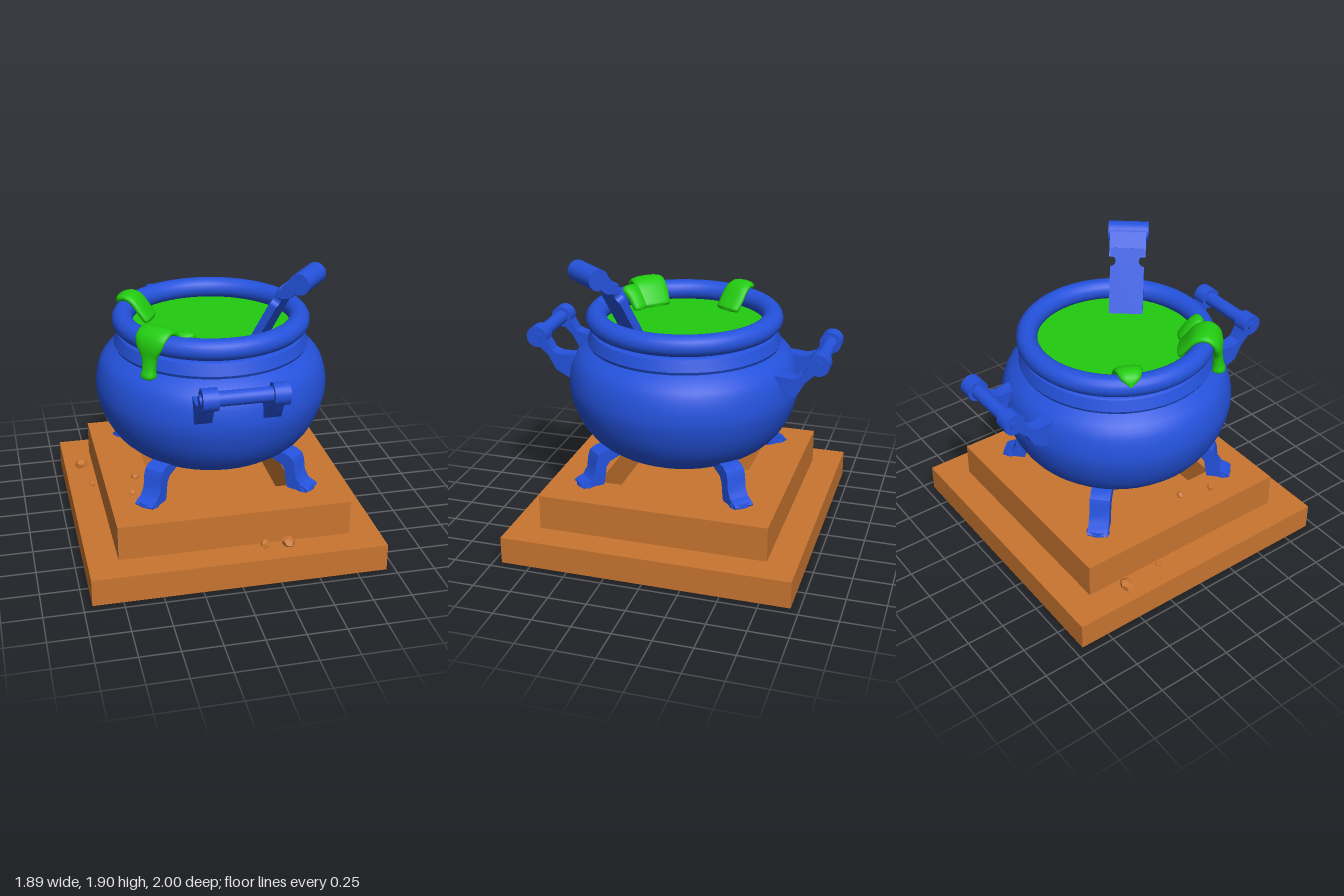
import * as THREE from 'three';
import { toCreasedNormals } from 'three/addons/utils/BufferGeometryUtils.js';

const iron = new THREE.MeshStandardMaterial({ color: 0x2452dc });
const slime = new THREE.MeshStandardMaterial({ color: 0x22cc10 });
const stone = new THREE.MeshStandardMaterial({ color: 0xc87530 });
const rubble = new THREE.MeshStandardMaterial({ color: 0xc87530, flatShading: true });

function add(parent, name, geometry, material, x = 0, y = 0, z = 0) {
  const mesh = new THREE.Mesh(geometry, material);
  mesh.name = name;
  mesh.position.set(x, y, z);
  parent.add(mesh);
  return mesh;
}

function group(parent, name, angle = 0) {
  const g = new THREE.Group();
  g.name = name;
  g.rotation.y = -angle; // local +x points outwards along this angle
  parent.add(g);
  return g;
}

const vecs = (points) => points.map(([x, y]) => new THREE.Vector2(x, y));
const lathe = (points) => toCreasedNormals(new THREE.LatheGeometry(vecs(points), 48), 0.6);

// Side profile (outward, up) given a width
function slab(points, width) {
  const g = new THREE.ExtrudeGeometry(new THREE.Shape(vecs(points)), { depth: width, bevelEnabled: false });
  g.translate(0, 0, -width / 2);
  return toCreasedNormals(g, 0.6);
}

// Soft band lofted along rows of [radius, height, half width, half thickness]
function band(rows) {
  const n = 16, pos = [], idx = [];
  const curve = new THREE.CatmullRomCurve3(rows.map(([r, y]) => new THREE.Vector3(r, y, 0)));
  const sizes = new THREE.CatmullRomCurve3(rows.map(([, , w, t]) => new THREE.Vector3(w, t, 0)));
  const steps = (rows.length - 1) * 4;
  for (let i = 0; i <= steps; i++) {
    const p = curve.getPoint(i / steps), s = sizes.getPoint(i / steps), t = curve.getTangent(i / steps);
    for (let j = 0; j < n; j++) {
      const a = (j / n) * Math.PI * 2, c = Math.cos(a);
      const h = Math.sin(a) * Math.max(s.y, 0.001);
      const w = Math.sign(c) * Math.abs(c) ** 0.7 * Math.max(s.x, 0.001);
      pos.push(p.x - t.y * h, p.y + t.x * h, w);
      if (i < steps) {
        const k = i * n + j, l = i * n + ((j + 1) % n);
        idx.push(k, k + n, l, l, k + n, l + n);
      }
    }
  }
  const g = new THREE.BufferGeometry();
  g.setAttribute('position', new THREE.Float32BufferAttribute(pos, 3));
  g.setIndex(idx);
  g.computeVertexNormals();
  return g;
}

function buildPlinth(root) {
  const plinth = group(root, 'plinth');
  add(plinth, 'lowerStep', new THREE.BoxGeometry(1.89, 0.18, 1.89), stone, 0, 0.09, 0);
  // Upper step is a square frame around a fire pit
  const square = (s) => vecs([[-s, -s], [s, -s], [s, s], [-s, s]]);
  const shape = new THREE.Shape(square(0.75));
  shape.holes.push(new THREE.Path(square(0.45)));
  const frame = new THREE.ExtrudeGeometry(shape, { depth: 0.23, bevelEnabled: false });
  frame.rotateX(-Math.PI / 2);
  add(plinth, 'upperStep', frame, stone, 0, 0.18, 0);
  // Loose rubble: x, y, z, size
  [[-0.83, 0.205, -0.52, 0.05], [-0.79, 0.19, -0.24, 0.022], [0.33, 0.2, 0.8, 0.047], [0.18, 0.2, 0.79, 0.035],
    [-0.6, 0.415, 0.34, 0.03], [-0.54, 0.415, 0.13, 0.03]].forEach(([x, y, z, s], i) => {
    const rock = add(plinth, 'rock', new THREE.DodecahedronGeometry(s, 0), rubble, x, y, z);
    rock.scale.set(1, 0.7, 0.85);
    rock.rotation.set(0.3 * i, 1.3 * i, 0.2);
  });
}

function buildPot(root) {
  const pot = group(root, 'pot');
  const profile = new THREE.SplineCurve(vecs([[0, 0.51], [0.2, 0.52], [0.36, 0.545], [0.5, 0.6], [0.62, 0.69],
    [0.7, 0.81], [0.745, 0.94], [0.755, 1.04], [0.735, 1.15], [0.69, 1.23], [0.6, 1.295]])).getPoints(22);
  add(pot, 'body', new THREE.LatheGeometry(profile, 48), iron);
  add(pot, 'neck', lathe([[0.57, 1.285], [0.62, 1.285], [0.63, 1.305], [0.605, 1.375], [0.59, 1.385], [0.55, 1.385], [0.55, 1.42]]), iron);
  const rim = new THREE.TorusGeometry(0.57, 0.068, 20, 56);
  rim.rotateX(Math.PI / 2);
  add(pot, 'rim', rim, iron, 0, 1.458, 0);
  const brew = new THREE.CircleGeometry(0.56, 48);
  brew.rotateX(-Math.PI / 2);
  add(pot, 'brew', brew, slime, 0, 1.4, 0);

  // Four bent legs on the diagonals
  const leg = slab([[0.48, 0.62], [0.52, 0.6], [0.585, 0.575], [0.61, 0.54], [0.62, 0.47], [0.63, 0.42],
    [0.775, 0.42], [0.785, 0.432], [0.77, 0.445], [0.72, 0.465], [0.69, 0.51], [0.68, 0.59], [0.665, 0.63],
    [0.63, 0.65], [0.58, 0.66], [0.5, 0.66]], 0.13);
  for (let i = 0; i < 4; i++) {
    const g = group(pot, 'leg', Math.PI / 4 + (i * Math.PI) / 2);
    add(g, 'legBracket', leg, iron);
    const toe = add(g, 'toe', new THREE.CylinderGeometry(0.07, 0.075, 0.025, 20), iron, 0.735, 0.4325, 0);
    toe.scale.x = 0.7;
  }

  // Front and back carrying handles
  const arm = slab([[0.66, 1.08], [0.71, 1.045], [0.8, 1.09], [0.853, 1.185], [0.92, 1.25], [0.95, 1.33],
    [0.88, 1.34], [0.86, 1.28], [0.826, 1.22], [0.77, 1.2], [0.66, 1.21]], 0.092);
  const rod = (r, l) => new THREE.CylinderGeometry(r, r, l, 24).rotateX(Math.PI / 2);
  for (const side of [1, -1]) {
    const g = group(pot, side > 0 ? 'frontHandle' : 'backHandle', (side * Math.PI) / 2);
    add(g, 'bar', rod(0.046, 0.4), iron, 0.93, 1.305, 0);
    add(g, 'pin', rod(0.032, 0.55), iron, 0.93, 1.305, 0);
    for (const s of [1, -1]) {
      add(g, 'arm', arm, iron, 0, 0, s * 0.213);
      add(g, 'hub', rod(0.07, 0.096), iron, 0.93, 1.305, s * 0.213);
    }
  }
}

function buildLadle(root) {
  const ladle = group(root, 'ladle', 0.69);
  // Flat shaft with a rounded notch on each edge
  const shape = new THREE.Shape();
  shape.moveTo(-0.112, -0.12);
  shape.lineTo(0.112, -0.12);
  shape.lineTo(0.112, 0.31);
  shape.absarc(0.112, 0.345, 0.035, -Math.PI / 2, Math.PI / 2, true);
  shape.lineTo(0.112, 0.43);
  shape.lineTo(-0.112, 0.43);
  shape.lineTo(-0.112, 0.38);
  shape.absarc(-0.112, 0.345, 0.035, Math.PI / 2, -Math.PI / 2, true);
  const plate = new THREE.ExtrudeGeometry(shape, { depth: 0.05, bevelEnabled: false });
  plate.translate(0, 0, -0.025);
  plate.rotateY(Math.PI / 2);
  const shaft = add(ladle, 'shaft', plate, iron, 0.36, 1.39, 0.042);
  shaft.rotation.z = -0.48;
  // Scrolled grip at the top
  add(ladle, 'gripNeck', slab([[0.51, 1.73], [0.57, 1.72], [0.63, 1.735], [0.66, 1.77], [0.68, 1.89], [0.63, 1.875], [0.59, 1.82]], 0.24), iron, 0, 0, 0.042);
  const roll = new THREE.CylinderGeometry(0.067, 0.067, 0.265, 28);
  roll.rotateX(Math.PI / 2);
  add(ladle, 'grip', roll, iron, 0.68, 1.832, 0.042);
}

function buildSpills(root) {
  // Long drip hanging over the front rim
  const front = group(root, 'frontSpill', Math.atan2(0.44, -0.47));
  add(front, 'drip', band([[0.4, 1.39, 0, 0], [0.42, 1.405, 0.1, 0.03], [0.47, 1.47, 0.11, 0.03], [0.52, 1.525, 0.115, 0.03],
    [0.58, 1.545, 0.115, 0.028], [0.635, 1.515, 0.112, 0.028], [0.655, 1.46, 0.095, 0.028], [0.655, 1.39, 0.055, 0.03],
    [0.66, 1.32, 0.045, 0.036], [0.665, 1.275, 0.05, 0.045], [0.665, 1.245, 0, 0]]), slime);
  // Side lobe running back into the pot
  const lobe = group(root, 'spillLobe', 2.08);
  add(lobe, 'lobe', band([[0.4, 1.39, 0, 0], [0.42, 1.405, 0.05, 0.03], [0.48, 1.48, 0.055, 0.035],
    [0.53, 1.52, 0.06, 0.03], [0.57, 1.51, 0, 0]]), slime);
  // Short tongue lapping over the rear rim
  const rear = group(root, 'rearSpill', Math.atan2(-0.26, -0.49));
  add(rear, 'tongue', band([[0.39, 1.39, 0, 0], [0.41, 1.405, 0.09, 0.03], [0.46, 1.47, 0.095, 0.03], [0.51, 1.53, 0.09, 0.03],
    [0.56, 1.548, 0.08, 0.028], [0.61, 1.53, 0.06, 0.025], [0.645, 1.49, 0, 0]]), slime);
}

export function createModel() {
  const root = new THREE.Group();
  root.name = 'cauldron';
  buildPlinth(root);
  buildPot(root);
  buildLadle(root);
  buildSpills(root);
  return root;
}
